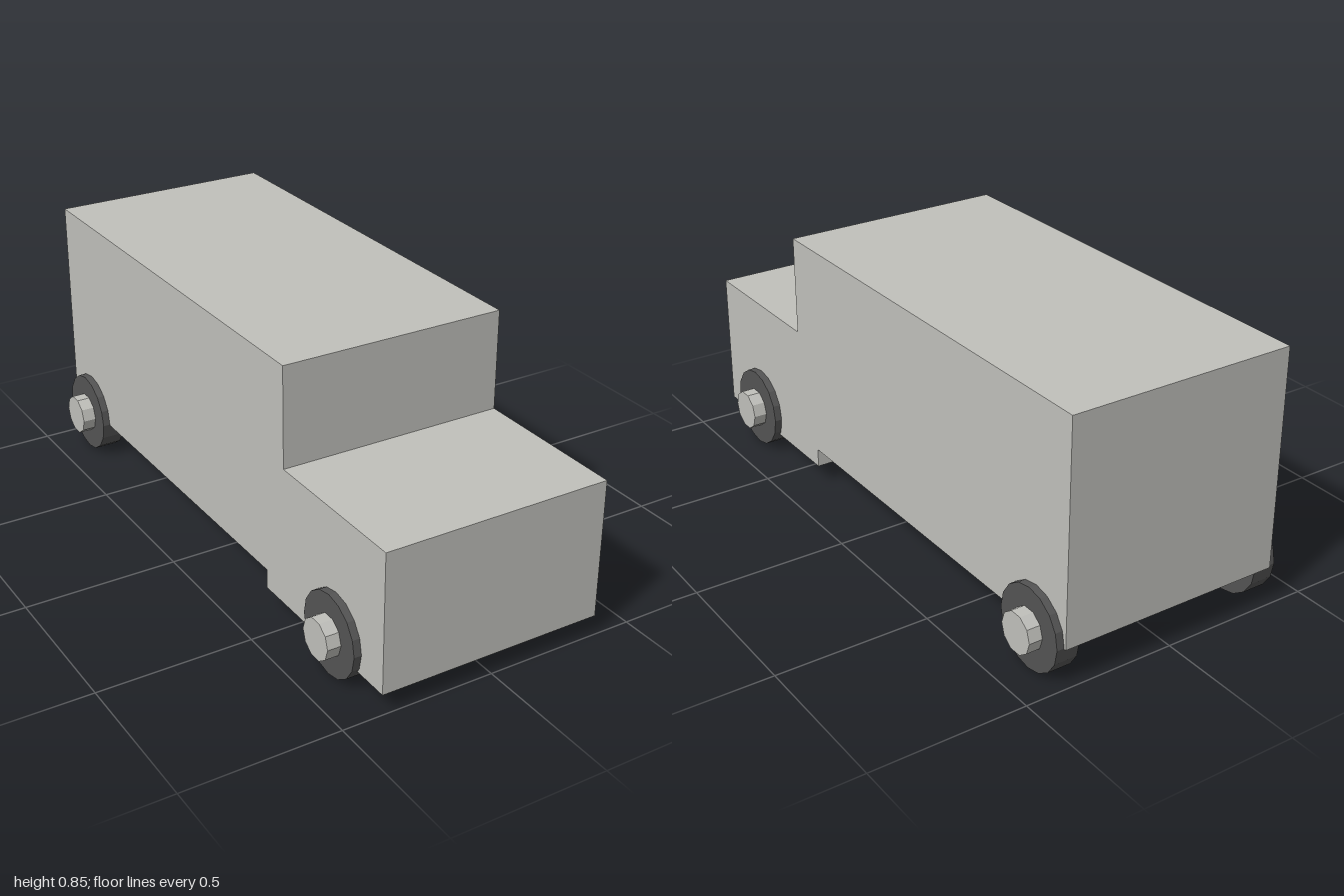
import * as THREE from 'three';

const bodyGrey = new THREE.MeshStandardMaterial({ name: 'body grey', color: 0xc0c0bb, flatShading: true });
const tyreGrey = new THREE.MeshStandardMaterial({ name: 'tyre dark grey', color: 0x545454, flatShading: true });

// Cylinder lying along x between two x positions, with a corner at its top
function axleCylinder(name, radius, sides, x0, x1, material) {
  const geometry = new THREE.CylinderGeometry(radius, radius, x1 - x0, sides);
  geometry.rotateZ(Math.PI / 2);
  const mesh = new THREE.Mesh(geometry, material);
  mesh.name = name;
  mesh.position.x = (x0 + x1) / 2;
  return mesh;
}

export function createModel() {
  const model = new THREE.Group();
  model.name = 'van';

  // Side profile (z, y), extruded across the width
  const profile = new THREE.Shape([
    [1, 0.067], [1, 0.52], [0.475, 0.52], [0.475, 0.845],
    [-1, 0.845], [-1, 0.13], [0.373, 0.13], [0.373, 0.067],
  ].map(([z, y]) => new THREE.Vector2(z, y)));
  const width = 0.744;
  const bodyGeometry = new THREE.ExtrudeGeometry(profile, { depth: width, bevelEnabled: false });
  bodyGeometry.translate(0, 0, -width / 2);
  bodyGeometry.rotateY(-Math.PI / 2);
  const body = new THREE.Mesh(bodyGeometry, bodyGrey);
  body.name = 'body';
  model.add(body);

  // Four wheels, each a tyre with a protruding hub
  for (const [end, z] of [['front', 0.76], ['rear', -0.86]]) {
    for (const [side, turn] of [['Left', 0], ['Right', Math.PI]]) {
      const wheel = new THREE.Group();
      wheel.name = `${end}${side}Wheel`;
      wheel.add(axleCylinder('tyre', 0.133, 16, 0.32, 0.396, tyreGrey));
      wheel.add(axleCylinder('hub', 0.066, 10, 0.36, 0.44, bodyGrey));
      wheel.position.set(0, 0.133, z);
      wheel.rotation.y = turn;
      model.add(wheel);
    }
  }
  return model;
}
